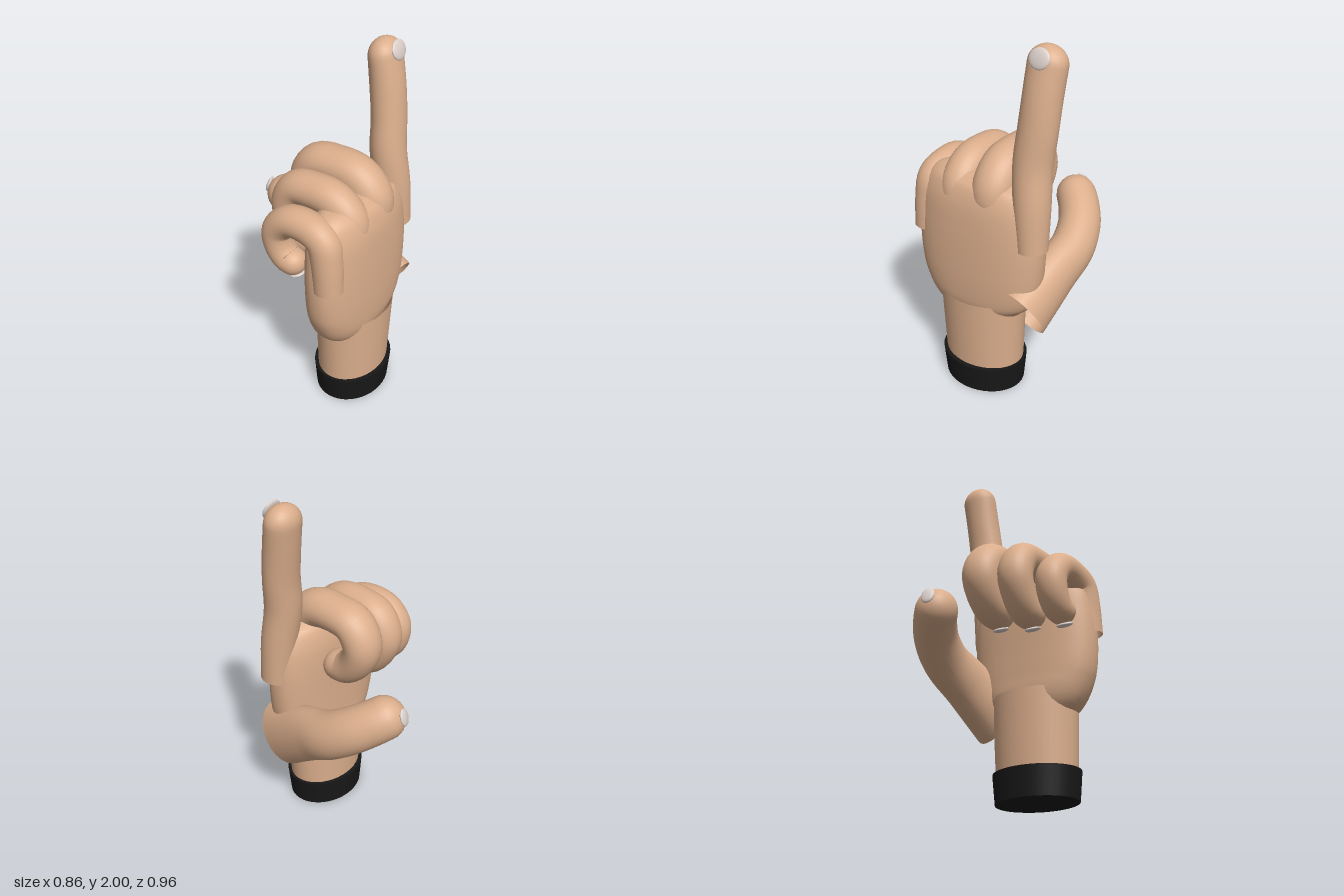
import * as THREE from 'three';

const skin = new THREE.MeshStandardMaterial({ color: 0xdbae8c, side: THREE.DoubleSide });
skin.name = 'skin';
const nailColor = new THREE.MeshStandardMaterial({ color: 0xdcd0ca });
nailColor.name = 'nail';
const black = new THREE.MeshStandardMaterial({ color: 0x181818 });
black.name = 'black cuff';

// Smooth loft through points [x, y, z, half width, half depth], optionally with a domed tip
function loft(points, { tip = true, power = 2, steps = 5, sides = 28 } = {}) {
  const path = new THREE.CatmullRomCurve3(points.map(p => new THREE.Vector3(p[0], p[1], p[2])));
  const size = new THREE.CatmullRomCurve3(points.map(p => new THREE.Vector3(p[3], p[4], 0)), false, 'catmullrom', 0.5);
  const rings = [];
  const n = new THREE.Vector3(1, 0, 0);
  const count = (points.length - 1) * steps;
  for (let i = 0; i <= count; i++) {
    const t = path.getTangent(i / count);
    n.addScaledVector(t, -n.dot(t)).normalize();
    const s = size.getPoint(i / count);
    rings.push({ c: path.getPoint(i / count), n: n.clone(), b: t.clone().cross(n), t, w: s.x, d: s.y });
  }
  if (tip) {
    const e = rings[count];
    for (let k = 1; k <= 8; k++) {
      const a = k / 8 * Math.PI / 2, f = Math.max(Math.cos(a), 0.001);
      const c = e.c.clone().addScaledVector(e.t, Math.sin(a) * (e.w + e.d) / 2);
      rings.push({ ...e, c, w: e.w * f, d: e.d * f });
    }
  }
  const pos = [], index = [];
  const round = v => Math.sign(v) * Math.abs(v) ** (2 / power);
  rings.forEach((r, i) => {
    for (let j = 0; j < sides; j++) {
      const a = j / sides * Math.PI * 2;
      const p = r.c.clone().addScaledVector(r.n, r.w * round(Math.cos(a))).addScaledVector(r.b, r.d * round(Math.sin(a)));
      pos.push(p.x, p.y, p.z);
      if (i < rings.length - 1) {
        const q = i * sides + j, s = i * sides + (j + 1) % sides;
        index.push(q, s, q + sides, s, s + sides, q + sides);
      }
    }
  });
  const g = new THREE.BufferGeometry();
  g.setAttribute('position', new THREE.Float32BufferAttribute(pos, 3));
  g.setIndex(index);
  g.computeVertexNormals();
  return g;
}

export function createModel() {
  const model = new THREE.Group();
  model.name = 'pointingHand';
  const add = (name, geometry, material) => {
    const m = new THREE.Mesh(geometry, material);
    m.name = name;
    model.add(m);
    return m;
  };
  // Shallow oval nail: centre, outward normal, half width, half length
  const nail = (name, at, normal, w, l) => {
    const m = add(name, new THREE.SphereGeometry(1, 20, 12), nailColor);
    m.position.set(...at);
    m.lookAt(at[0] + normal[0], at[1] + normal[1], at[2] + normal[2]);
    m.scale.set(w, l, 0.014);
  };

  // Cuff and open-ended wrist, both oval
  const cuff = add('cuff', new THREE.CylinderGeometry(0.25, 0.235, 0.16, 40), black);
  cuff.position.set(-0.03, 0.08, 0.272);
  cuff.scale.z = 0.82;
  const wrist = add('wrist', new THREE.CylinderGeometry(0.252, 0.232, 0.46, 40, 1, true), skin);
  wrist.position.set(-0.03, 0.35, 0.272);
  wrist.scale.z = 0.77;

  // Palm
  add('palm', loft([
    [-0.03, 0.425, 0.27, 0.01, 0.01],
    [-0.03, 0.45, 0.27, 0.2, 0.11],
    [-0.035, 0.54, 0.27, 0.305, 0.16],
    [-0.035, 0.66, 0.275, 0.36, 0.168],
    [-0.035, 0.82, 0.275, 0.38, 0.168],
    [-0.035, 1.0, 0.27, 0.378, 0.165],
    [-0.045, 1.14, 0.265, 0.355, 0.155],
    [-0.05, 1.24, 0.26, 0.3, 0.125],
    [-0.05, 1.285, 0.26, 0.2, 0.07],
    [-0.05, 1.295, 0.26, 0.01, 0.01],
  ], { tip: false, power: 2.3, sides: 48 }), skin);

  // Raised index finger
  add('indexFinger', loft([
    [0.305, 0.95, 0.305, 0.082, 0.085],
    [0.288, 1.18, 0.285, 0.098, 0.095],
    [0.272, 1.4, 0.255, 0.104, 0.095],
    [0.288, 1.58, 0.24, 0.104, 0.09],
    [0.298, 1.75, 0.217, 0.102, 0.09],
    [0.306, 1.905, 0.19, 0.104, 0.084],
  ]), skin);
  nail('indexNail', [0.306, 1.95, 0.264], [0, 0.35, 0.94], 0.057, 0.052);

  // Curled fingers: [y, z, half width, half depth] along a path at x
  const curled = {
    middleFinger: [0.065, 0, [
      [1.08, 0.29, 0.1, 0.1], [1.22, 0.3, 0.113, 0.11], [1.32, 0.21, 0.115, 0.108],
      [1.338, 0.07, 0.115, 0.1], [1.315, -0.05, 0.115, 0.1], [1.21, -0.108, 0.112, 0.1],
      [1.1, -0.07, 0.105, 0.095], [1.035, 0, 0.1, 0.092], [1.025, 0.05, 0.095, 0.088]]],
    ringFinger: [-0.145, 0, [
      [1.06, 0.29, 0.09, 0.1], [1.19, 0.3, 0.1, 0.106], [1.28, 0.21, 0.101, 0.1],
      [1.293, 0.08, 0.101, 0.095], [1.27, -0.03, 0.101, 0.092], [1.16, -0.085, 0.1, 0.092],
      [1.05, -0.05, 0.095, 0.088], [0.98, 0.01, 0.092, 0.085], [0.97, 0.05, 0.09, 0.082]]],
    littleFinger: [-0.33, -0.022, [
      [0.89, 0.32, 0.078, 0.08], [1.06, 0.305, 0.085, 0.085], [1.17, 0.275, 0.089, 0.09],
      [1.21, 0.18, 0.089, 0.088], [1.2, 0.06, 0.089, 0.084], [1.12, -0.015, 0.088, 0.082],
      [1.02, -0.005, 0.084, 0.08], [0.96, 0.04, 0.08, 0.077], [0.95, 0.075, 0.078, 0.074]]],
  };
  for (const [name, [x, lean, path]] of Object.entries(curled)) {
    add(name, loft(path.map(([y, z, w, d], i) => [x + lean * Math.max(0, 1 - i / 3), y, z, w, d])), skin);
    const [y, z, , d] = path[path.length - 1];
    nail(name + 'Nail', [x, y - d * 0.92, z + 0.03], [0, -0.93, 0.36], 0.045, 0.045);
  }

  // Thumb, open at its base and bending inward at the tip
  add('thumb', loft([
    [0.25, 0.53, 0.31, 0.135, 0.198],
    [0.275, 0.605, 0.185, 0.125, 0.175],
    [0.295, 0.68, 0.06, 0.118, 0.158],
    [0.308, 0.755, -0.09, 0.12, 0.138],
    [0.275, 0.835, -0.22, 0.118, 0.128],
    [0.21, 0.9, -0.315, 0.115, 0.122],
    [0.175, 0.925, -0.35, 0.113, 0.12],
  ]), skin);
  nail('thumbNail', [0.145, 0.965, -0.458], [-0.25, 0.3, -0.92], 0.038, 0.05);

  return model;
}
